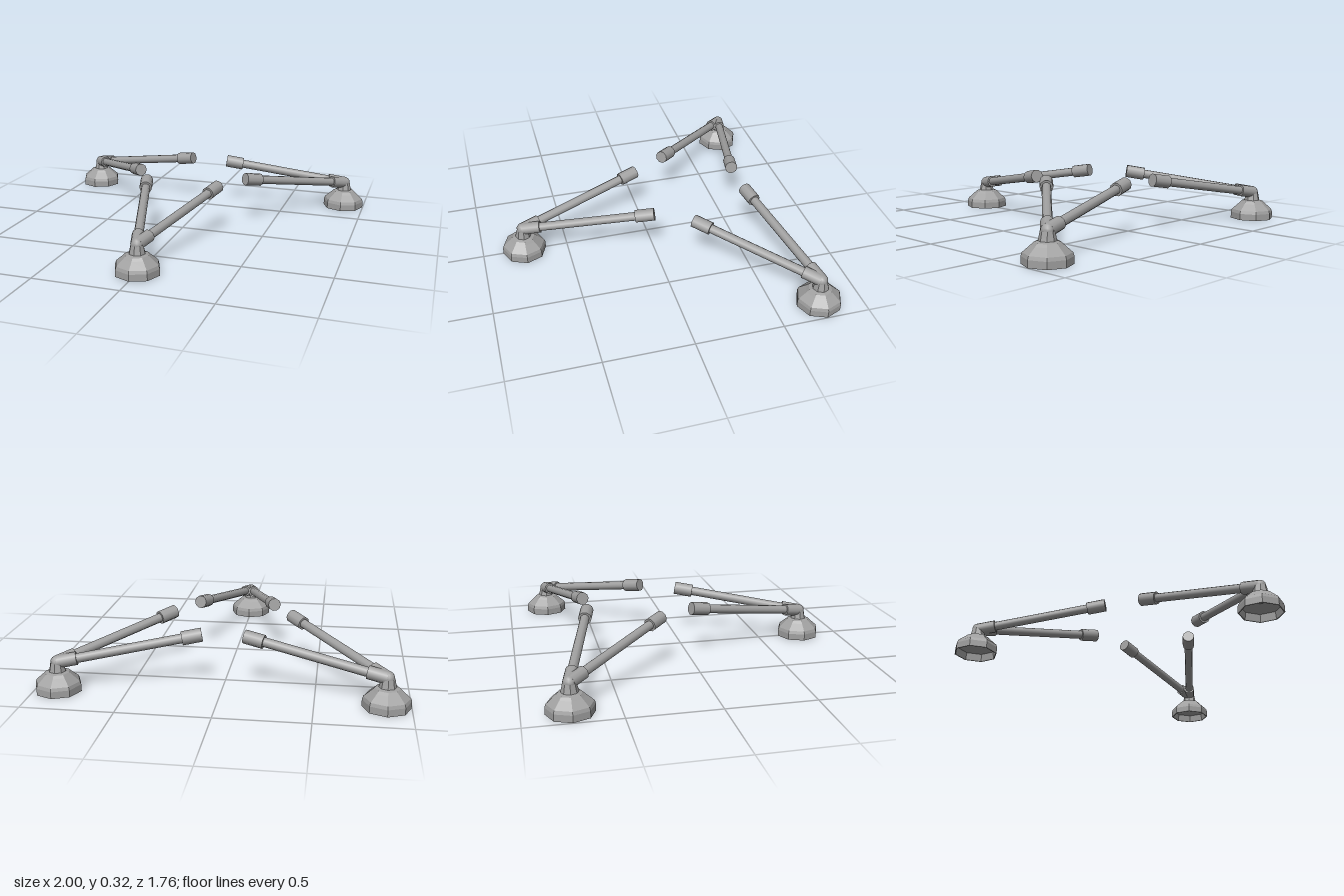
import * as THREE from 'three';

const steel = new THREE.MeshStandardMaterial({ color: 0xa0a0a0 });
steel.name = 'steel grey';

// Faceted eight-sided foot, hollow underneath
function footGeometry() {
  const profile = [
    [0, 0.085], [0.062, 0.085], [0.115, 0.045], [0.121, 0],
    [0.127, 0], [0.127, 0.038], [0.121, 0.056], [0.08, 0.092], [0.066, 0.106],
    [0.046, 0.112], [0.042, 0.13], [0.036, 0.16],
  ].map(([r, y]) => new THREE.Vector2(r, y));
  const geometry = new THREE.LatheGeometry(profile, 8).toNonIndexed();
  geometry.computeVertexNormals();
  return geometry;
}

function addMesh(parent, name, geometry) {
  const mesh = new THREE.Mesh(geometry, steel);
  mesh.name = name;
  parent.add(mesh);
  return mesh;
}

// Cylinder between two points
function addRod(parent, name, a, b, radius) {
  const dir = b.clone().sub(a);
  const mesh = addMesh(parent, name, new THREE.CylinderGeometry(radius, radius, dir.length(), 10));
  mesh.position.copy(a).add(b).multiplyScalar(0.5);
  mesh.quaternion.setFromUnitVectors(new THREE.Vector3(0, 1, 0), dir.normalize());
}

// Strut with a sleeve at each end
function createStrut(side) {
  const strut = new THREE.Group();
  strut.name = side > 0 ? 'leftStrut' : 'rightStrut';
  const start = new THREE.Vector3(0, 0.161, 1.005);
  const end = new THREE.Vector3(side * 0.225, 0.288, 0.264);
  const at = (t) => start.clone().lerp(end, t);
  addRod(strut, 'rod', start, at(0.99), 0.026);
  addRod(strut, 'lowerSleeve', start, at(0.135), 0.036);
  addRod(strut, 'endSleeve', at(0.86), end, 0.038);
  return strut;
}

export function createModel() {
  const model = new THREE.Group();
  model.name = 'tripleStrutStand';
  const centreZ = -0.251;
  const foot = footGeometry();

  // Three supports around a common centre
  ['front', 'backLeft', 'backRight'].forEach((name, i) => {
    const angle = i * Math.PI * 2 / 3;
    const arms = new THREE.Group();
    arms.name = name + 'Arms';
    arms.position.z = centreZ;
    arms.rotation.y = angle;
    arms.add(createStrut(1), createStrut(-1));
    addMesh(arms, 'elbow', new THREE.SphereGeometry(0.036, 10, 8)).position.set(0, 0.161, 1.005);
    model.add(arms);

    // Every foot keeps the same orientation
    addMesh(model, name + 'Foot', foot)
      .position.set(Math.sin(angle) * 1.006, 0, centreZ + Math.cos(angle) * 1.006);
  });
  return model;
}
